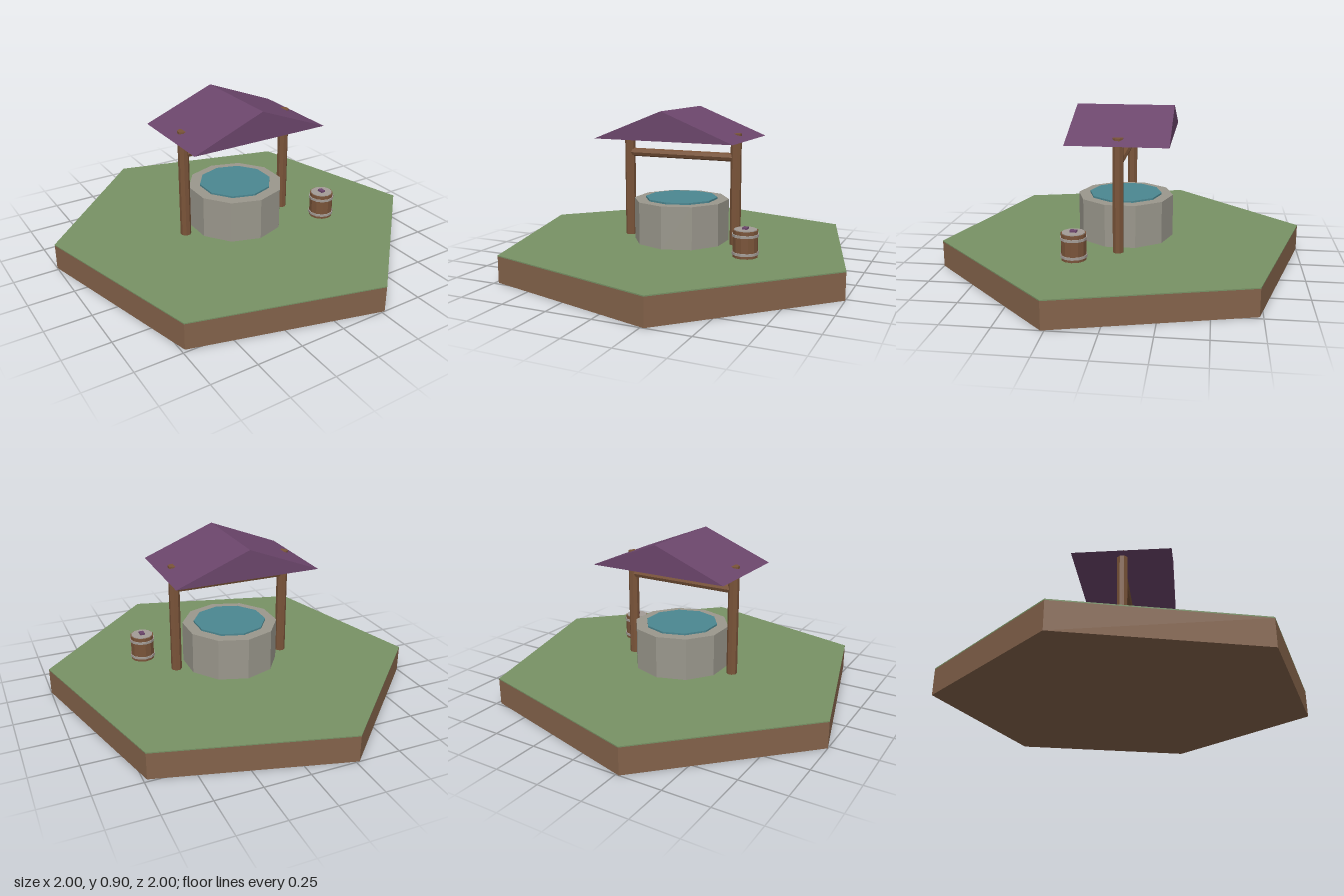
import * as THREE from 'three';

const mat = (name, color) => {
  const m = new THREE.MeshStandardMaterial({ color, flatShading: true });
  m.name = name;
  return m;
};

export function createModel() {
  const group = new THREE.Group();
  group.name = 'waterWell';

  const grass = mat('grass', 0x789265);
  const earth = mat('earth', 0x83624a);
  const stone = mat('stone', 0x9a978c);
  const wood = mat('wood', 0x7a5439);
  const water = mat('water', 0x4b8791);
  const cloth = mat('purpleRoof', 0x6c466c);
  const metal = mat('paleMetal', 0xa39c96);

  const add = (name, geometry, material, x = 0, y = 0, z = 0, parent = group) => {
    const mesh = new THREE.Mesh(geometry, material);
    mesh.name = name;
    mesh.position.set(x, y, z);
    parent.add(mesh);
    return mesh;
  };
  // Upright prism standing from y0 to y1
  const prism = (name, r, y0, y1, sides, material, x = 0, z = 0, parent = group, start = 0) =>
    add(name, new THREE.CylinderGeometry(r, r, y1 - y0, sides, 1, false, start),
      material, x, (y0 + y1) / 2, z, parent);

  // Hexagonal ground, turned by 15 degrees
  prism('earthBase', 1.035, 0, 0.144, 6, earth, 0, 0, group, Math.PI / 12);
  prism('grassTop', 1.035, 0.144, 0.15, 6, grass, 0, 0, group, Math.PI / 12);

  // Ten-sided stone well with raised water surface
  prism('wellWall', 0.27, 0.15, 0.387, 10, stone);
  prism('waterSurface', 0.205, 0.387, 0.397, 10, water);

  // Posts poke through the roof; a beam joins them
  for (const [side, name] of [[1, 'leftPost'], [-1, 'rightPost']]) {
    prism(name, 0.03, 0.15, 0.77, 8, wood, side * 0.327, 0, group, Math.PI / 8);
  }
  const beam = add('crossBeam', new THREE.CylinderGeometry(0.024, 0.024, 0.64, 8), wood, 0, 0.638, 0);
  beam.rotation.z = Math.PI / 2;

  // Solid gabled roof
  const gable = new THREE.Shape([
    new THREE.Vector2(-0.406, 0.737),
    new THREE.Vector2(0.406, 0.737),
    new THREE.Vector2(0, 0.897),
  ]);
  add('roof', new THREE.ExtrudeGeometry(gable, { depth: 0.542, bevelEnabled: false }),
    cloth, 0, 0, -0.271);

  // Small barrel beside the well
  const barrel = new THREE.Group();
  barrel.name = 'barrel';
  barrel.position.set(0.462, 0.15, 0.215);
  group.add(barrel);
  prism('barrelStaves', 0.067, 0, 0.143, 12, wood, 0, 0, barrel);
  for (const y of [0.022, 0.117]) {
    prism('barrelHoop', 0.072, y - 0.007, y + 0.007, 12, metal, 0, 0, barrel);
  }
  prism('barrelLid', 0.061, 0.143, 0.147, 12, metal, 0, 0, barrel);
  add('lidHandle', new THREE.BoxGeometry(0.026, 0.012, 0.036), cloth, 0, 0.151, 0, barrel);

  return group;
}
